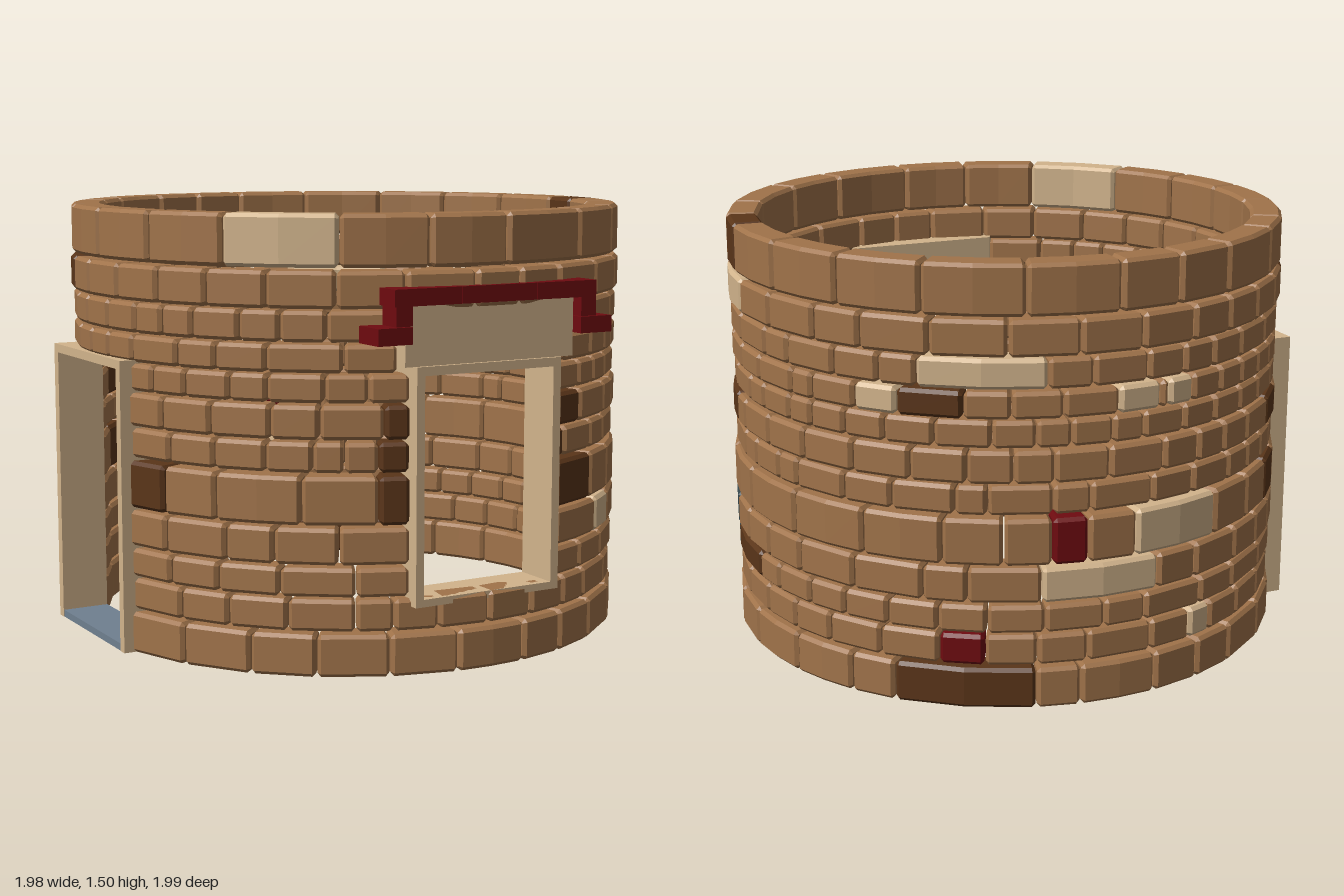
import * as THREE from 'three';
import { mergeGeometries } from 'three/addons/utils/BufferGeometryUtils.js';

const colour = (name, hex) => {
  const m = new THREE.MeshStandardMaterial({ color: hex });
  m.name = name;
  return m;
};

const RAD = Math.PI / 180;
const INNER = 0.875;

// Each course: bottom, top, outer radius, shortest and longest brick in degrees
const COURSES = [
  [0.0, 0.14, 0.985, 9, 17], [0.15, 0.255, 0.975, 7, 14], [0.265, 0.36, 0.98, 7, 15],
  [0.372, 0.492, 0.985, 8, 16], [0.502, 0.66, 0.985, 10, 20], [0.672, 0.77, 0.975, 6, 13],
  [0.78, 0.89, 0.983, 7, 14], [0.898, 0.988, 0.975, 6, 12], [0.995, 1.085, 0.98, 6, 13],
  [1.093, 1.193, 0.98, 7, 13], [1.2, 1.32, 0.988, 8, 16], [1.33, 1.5, 0.985, 12, 22],
];

// Odd-coloured bricks per course: start angle, end angle, colour (0 is +z, 90 is +x)
const ACCENTS = {
  1: [[135, 163, 'dark']],
  2: [[59, 66, 'cream'], [144, 153, 'red'], [197, 203, 'cream']],
  3: [[61, 76, 'slate'], [76, 96, 'dark']],
  4: [[33, 42, 'cream'], [71, 80, 'slate'], [164, 188, 'cream']],
  5: [[17, 30, 'dark'], [166, 173, 'red'], [183, 203, 'cream'], [226, 236, 'dark'],
    [283, 293, 'dark'], [337, 343, 'dark']],
  6: [[17, 20, 'dark'], [59, 67, 'cream'], [337, 343, 'dark']],
  7: [[17, 25, 'dark'], [68, 84, 'dark'], [226, 237, 'dark'], [338, 343, 'dark']],
  9: [[127, 136, 'cream'], [136, 149, 'dark'], [179, 188, 'cream'], [190, 196, 'cream']],
  10: [[140, 165, 'cream']],
  11: [[71, 91, 'cream'], [239, 257, 'dark']],
  12: [[76, 87, 'dark'], [307, 329.5, 'cream']],
};

// Chamfered rectangle in (radius, height), counter-clockwise
function section(r0, r1, y0, y1, inset, c) {
  r0 += inset; r1 -= inset; y0 += inset; y1 -= inset;
  return [[r0 + c, y0], [r1 - c, y0], [r1, y0 + c], [r1, y1 - c],
    [r1 - c, y1], [r0 + c, y1], [r0, y1 - c], [r0, y0 + c]];
}

// Bevelled wedge-shaped brick swept between two angles
function brick(a0, a1, y0, y1, outer) {
  const bevel = 0.012;
  const gap = 0.15, bevelDeg = 0.7;
  const start = a0 + gap, end = a1 - gap;
  const body = section(INNER, outer, y0, y1, 0, bevel);
  const tip = section(INNER, outer, y0, y1, bevel, 0.003);
  const steps = Math.ceil((a1 - a0) / 15);
  const loops = [[start, tip]];
  for (let i = 0; i <= steps; i++) {
    loops.push([start + bevelDeg + (end - start - 2 * bevelDeg) * i / steps, body]);
  }
  loops.push([end, tip]);
  const pts = loops.map(([deg, sec]) => sec.map(([r, y]) =>
    [r * Math.sin(deg * RAD), y, r * Math.cos(deg * RAD) - 0.008]));
  const out = [];
  const tri = (a, b, c) => out.push(...a, ...b, ...c);
  for (let i = 0; i < pts.length - 1; i++) {
    for (let k = 0; k < 8; k++) {
      const n = (k + 1) % 8;
      tri(pts[i][k], pts[i + 1][k], pts[i + 1][n]);
      tri(pts[i][k], pts[i + 1][n], pts[i][n]);
    }
  }
  const last = pts[pts.length - 1];
  for (let k = 1; k < 7; k++) {
    tri(pts[0][0], pts[0][k], pts[0][k + 1]);
    tri(last[0], last[k + 1], last[k]);
  }
  const g = new THREE.BufferGeometry();
  g.setAttribute('position', new THREE.Float32BufferAttribute(out, 3));
  g.computeVertexNormals();
  return g;
}

export function createModel() {
  const mats = {
    brown: colour('brown brick', 0xa0734a),
    dark: colour('dark brown brick', 0x5a3519),
    cream: colour('cream stone', 0xd2b48c),
    red: colour('deep red', 0x6e0b10),
    slate: colour('dark slate brick', 0x33454a),
    grey: colour('blue grey sill', 0x708090),
  };
  const model = new THREE.Group();
  model.name = 'roundBrickTower';
  const add = (parent, name, geo, mat) => {
    const m = new THREE.Mesh(geo, mats[mat]);
    m.name = name;
    parent.add(m);
    return m;
  };
  const box = (parent, name, mat, x0, x1, y0, y1, z0, z1) => {
    const m = add(parent, name, new THREE.BoxGeometry(x1 - x0, y1 - y0, z1 - z0), mat);
    m.position.set((x0 + x1) / 2, (y0 + y1) / 2, (z0 + z1) / 2);
    return m;
  };

  let seed = 7;
  const random = () => (seed = (seed * 16807) % 2147483647) / 2147483647;

  // Brick courses, leaving out the window and doorway
  COURSES.forEach(([y0, y1, outer, shortest, longest], i) => {
    const row = i + 1;
    const course = new THREE.Group();
    course.name = `course${row}`;
    model.add(course);
    const fixed = [...(ACCENTS[row] || [])];
    if (row <= 8) fixed.push([248, 283, null]);
    if (row >= 3 && row <= 8) fixed.push([-17, 17, null]);
    if (row === 9 || row === 10) fixed.push([-19.5, 19.5, null]);
    fixed.sort((a, b) => a[0] - b[0]);

    const plain = [];
    fixed.forEach(([a0, a1, mat], k) => {
      if (mat) add(course, `${mat}Brick`, brick(a0, a1, y0, y1, outer), mat);
      // Fill up to the next fixed span with bricks of uneven length
      const next = k + 1 < fixed.length ? fixed[k + 1][0] : fixed[0][0] + 360;
      const span = next - a1;
      if (span < 1) return;
      const count = Math.max(1, Math.round(span / ((shortest + longest) / 2)));
      const weights = Array.from({ length: count }, () => shortest + (longest - shortest) * random());
      const total = weights.reduce((s, w) => s + w, 0);
      let a = a1;
      weights.forEach((w) => {
        const b = a + span * w / total;
        plain.push(brick(a, b, y0, y1, outer));
        a = b;
      });
    });
    add(course, 'brownBricks', mergeGeometries(plain), 'brown');
  });

  // Window frame
  const frame = new THREE.Shape();
  frame.moveTo(-0.28, 0.23).lineTo(0.28, 0.23).lineTo(0.28, 1.015).lineTo(-0.28, 1.015).closePath();
  const hole = new THREE.Path();
  hole.moveTo(-0.25, 0.255).lineTo(-0.25, 0.985).lineTo(0.25, 0.985).lineTo(0.25, 0.255).closePath();
  frame.holes.push(hole);
  const frameGeo = new THREE.ExtrudeGeometry(frame, { depth: 0.165, bevelEnabled: false });
  add(model, 'windowFrame', frameGeo, 'cream').position.z = 0.79;

  // Lintel, narrower towards the inside
  const plan = new THREE.Shape();
  plan.moveTo(-0.28, -0.79).lineTo(-0.325, -0.88).lineTo(-0.325, -0.955)
    .lineTo(0.325, -0.955).lineTo(0.325, -0.88).lineTo(0.28, -0.79).closePath();
  const lintelGeo = new THREE.ExtrudeGeometry(plan, { depth: 0.195, bevelEnabled: false });
  lintelGeo.rotateX(-Math.PI / 2);
  add(model, 'windowLintel', lintelGeo, 'cream').position.y = 1.017;

  // Stepped red hood over the window
  const hood = new THREE.Group();
  hood.name = 'windowHood';
  model.add(hood);
  [[-0.39, -0.142], [-0.14, 0.148], [0.15, 0.385]].forEach(([a, b]) =>
    box(hood, 'hoodTop', 'red', a, b, 1.215, 1.27, 0.905, 1));
  for (const s of [-1, 1]) {
    const side = (name, a, b, ...rest) =>
      box(hood, name, 'red', Math.min(s * a, s * b), Math.max(s * a, s * b), ...rest);
    side('hoodStep', 0.325, 0.385, 1.152, 1.215, 0.915, 1);
    side('hoodFoot', 0.325, 0.45, 1.095, 1.15, 0.88, 1);
  }

  // Doorway frame with its sill
  const door = new THREE.Group();
  door.name = 'doorway';
  model.add(door);
  box(door, 'doorJamb', 'cream', -0.99, -0.82, 0, 1, -0.37, -0.335);
  box(door, 'doorJamb', 'cream', -0.99, -0.82, 0, 1, 0.19, 0.225);
  box(door, 'doorHeader', 'cream', -0.99, -0.82, 0.97, 1, -0.335, 0.19);
  box(door, 'doorSill', 'grey', -0.988, -0.82, 0, 0.025, -0.335, 0.19);

  return model;
}
